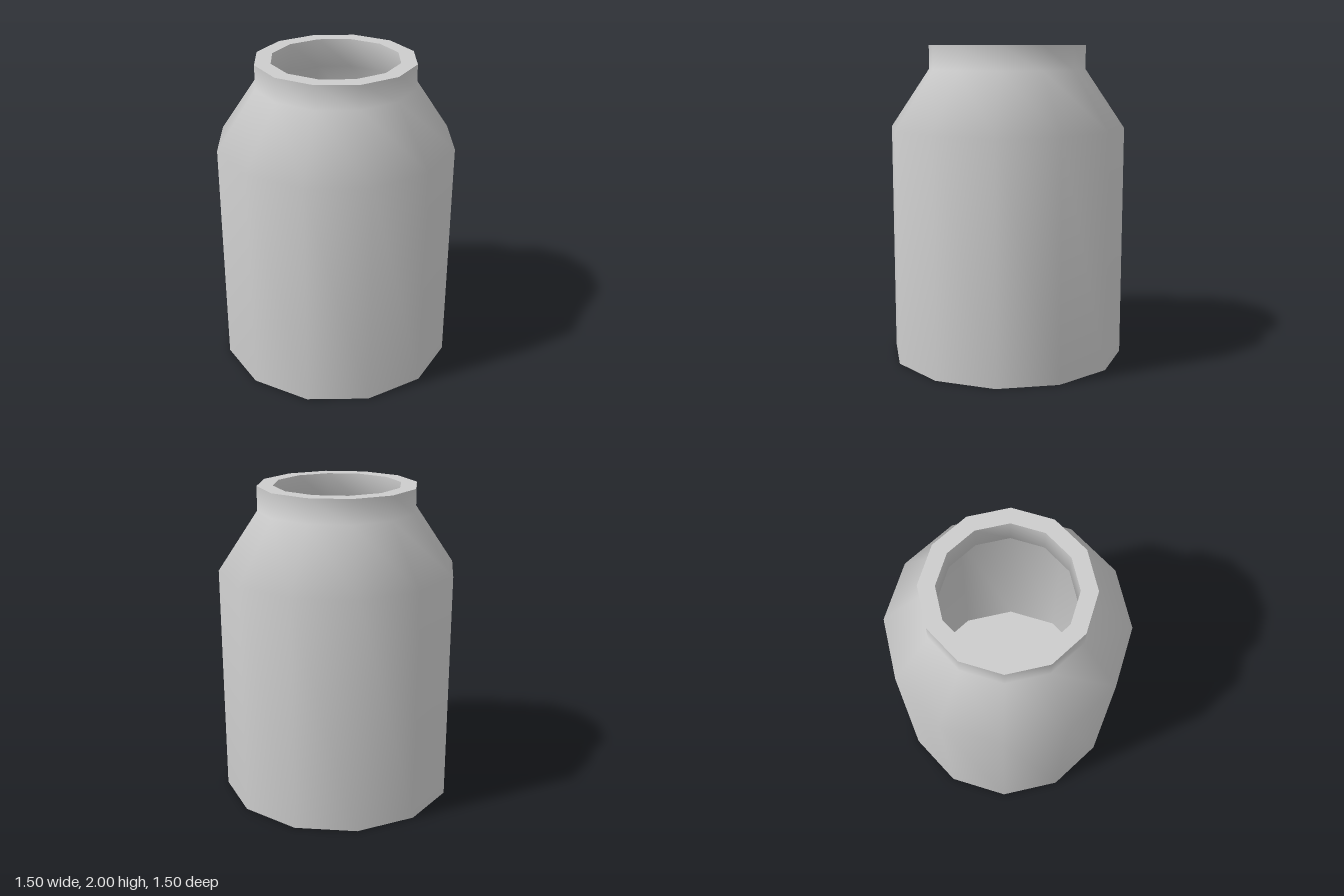
import * as THREE from 'three';

const SIDES = 12;

export function createModel() {
  const model = new THREE.Group();
  model.name = 'jar';

  const grey = new THREE.MeshStandardMaterial({ color: 0xcccccc });
  grey.name = 'light grey';

  // Each profile is [radius, height]; separate lathes keep the rim and base edges sharp
  const addLathe = (name, profile) => {
    const points = profile.map(([r, y]) => new THREE.Vector2(r, y));
    const mesh = new THREE.Mesh(new THREE.LatheGeometry(points, SIDES), grey);
    mesh.name = name;
    model.add(mesh);
  };

  // Underside
  addLathe('base', [[0, 0], [0.75, 0]]);
  // Straight body, sloping shoulder and short neck
  addLathe('outerWall', [[0.75, 0], [0.75, 1.48], [0.5, 1.85], [0.5, 2]]);
  // Flat ring around the mouth
  addLathe('rim', [[0.5, 2], [0.4, 2]]);
  // Hollow inside, following the outer wall
  addLathe('innerWall', [[0.4, 2], [0.4, 1.82], [0.65, 1.45], [0.65, 0.1]]);
  addLathe('innerFloor', [[0.65, 0.1], [0, 0.1]]);

  return model;
}
